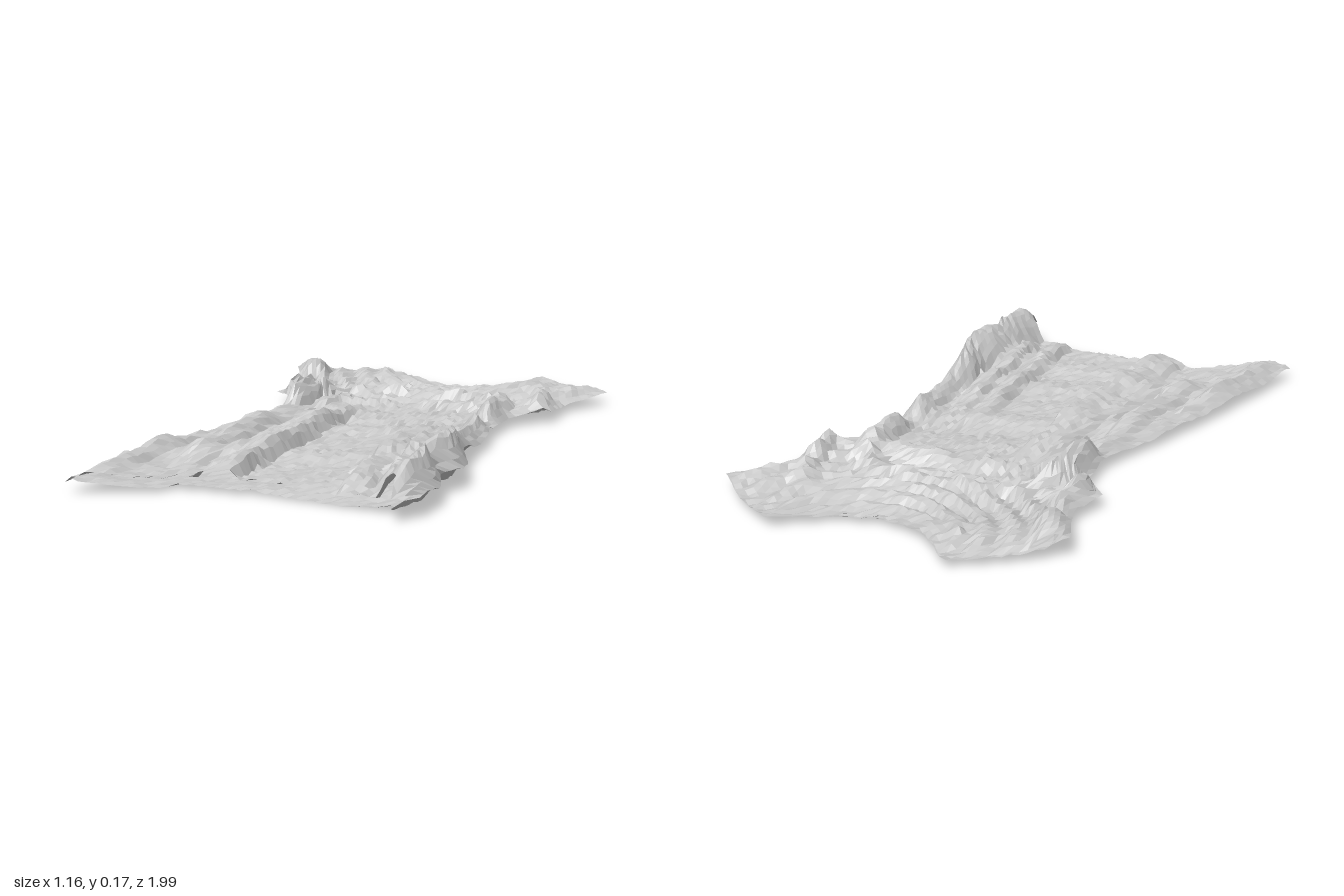
import * as THREE from 'three';

const COLS = 64, ROWS = 62;

// Piecewise-linear lookup through [position, value] pairs
function along(points, p) {
  if (p <= points[0][0]) return points[0][1];
  for (let i = 1; i < points.length; i++) {
    const [a, va] = points[i - 1], [b, vb] = points[i];
    if (p <= b) return va + (vb - va) * (p - a) / (b - a);
  }
  return points[points.length - 1][1];
}

// Side outlines: [z, x]
const RIGHT_SIDE = [[-0.77, -0.58], [-0.6, -0.5], [-0.53, -0.475], [-0.4, -0.505], [-0.3, -0.4],
  [-0.1, -0.38], [0, -0.4], [0.2, -0.45], [0.5, -0.51], [0.8, -0.55], [1, -0.575]];
const LEFT_SIDE = [[-0.78, 0.58], [-0.6, 0.48], [-0.43, 0.48], [-0.3, 0.37], [-0.1, 0.365], [0, 0.39],
  [0.2, 0.4], [0.35, 0.42], [0.45, 0.47], [0.55, 0.485], [0.65, 0.45], [0.75, 0.485], [0.9, 0.475], [0.97, 0.45]];
// Neckline with shoulders, and hem: [s, z] with s from -1 to 1 across the cloth
const NECK = [[-1, -0.77], [-0.78, -0.89], [-0.52, -1], [-0.4, -0.93], [-0.25, -0.86], [-0.1, -0.825], [0, -0.815],
  [0.1, -0.825], [0.25, -0.86], [0.4, -0.93], [0.5, -0.99], [0.78, -0.89], [1, -0.78]];
const HEM = [[-1, 0.99], [-0.75, 0.93], [-0.55, 0.87], [-0.5, 0.825], [0, 0.815], [0.4, 0.84], [0.8, 0.87],
  [0.88, 0.91], [0.94, 0.98], [1, 0.9]];

// Folds: [x0, z0, x1, z1, height, width on -x side, width on +x side]
const FOLDS = [
  [-0.14, -0.28, -0.14, 0.95, 0.06, 0.1, 0.025],
  [-0.22, 0.1, -0.235, 0.65, 0.035, 0.06, 0.02],
  [-0.33, -0.1, -0.34, 0.72, 0.045, 0.05, 0.04],
  [-0.36, 0.36, -0.29, 0.64, 0.035, 0.03, 0.03],
  [-0.46, 0.3, -0.5, 0.95, 0.03, 0.06, 0.04],
  [0.13, -0.05, 0.24, 0.92, 0.04, 0.025, 0.07],
  [0.2, -0.02, 0.34, 0.85, 0.045, 0.025, 0.06],
  [0.33, -0.12, 0.37, 0.3, 0.04, 0.04, 0.05],
  [0.4, 0.12, 0.43, 1.0, 0.11, 0.08, 0.1],
  [-0.31, -0.46, -0.35, -0.12, 0.075, 0.05, 0.035],
  [-0.24, -0.42, -0.27, -0.2, 0.035, 0.03, 0.03],
  [0.29, -0.48, 0.33, -0.14, 0.055, 0.04, 0.05],
  [0.2, -0.55, 0.3, -0.4, 0.035, 0.03, 0.03],
  [-0.46, -0.62, -0.42, -0.3, 0.035, 0.04, 0.03],
  [0.4, -0.6, 0.45, -0.36, 0.035, 0.03, 0.04],
  [-0.6, -0.84, -0.5, -0.62, 0.06, 0.06, 0.1],
  [0.3, -0.78, 0.42, -0.58, 0.025, 0.04, 0.04],
  // crosswise creases at bust and waist
  [-0.3, -0.34, -0.02, -0.33, 0.025, 0.03, 0.05],
  [0.02, -0.33, 0.3, -0.36, 0.025, 0.03, 0.05],
  [0.02, -0.53, 0.3, -0.52, 0.025, 0.03, 0.04],
  [-0.36, -0.5, -0.04, -0.53, 0.02, 0.03, 0.03],
];

function foldHeight(x, z) {
  let sum = 0;
  for (const [x0, z0, x1, z1, h, wa, wb] of FOLDS) {
    const dx = x1 - x0, dz = z1 - z0, len = Math.hypot(dx, dz);
    const t = ((x - x0) * dx + (z - z0) * dz) / (len * len);
    if (t <= 0 || t >= 1) continue;
    const d = ((x - x0) * dz - (z - z0) * dx) / len;
    const side = 1 - Math.abs(d) / (d < 0 ? wa : wb);
    if (side > 0) sum = Math.max(sum, h * Math.sqrt(side) * Math.min(1, 4 * t, 6 * (1 - t)));
  }
  return sum;
}

// Repeatable value in -1..1 for small crumples
function crumple(i, j) {
  const n = Math.sin(i * 127.1 + j * 311.7) * 43758.5453;
  return 2 * (n - Math.floor(n)) - 1;
}

function backHeight(x, z, s, i, j) {
  const lift = Math.max(0, Math.abs(s) - 0.65) / 0.35;
  const shoulder = Math.max(0, -0.7 - z) * 0.07;
  return 0.013 + 0.026 * lift + shoulder + 0.006 * Math.sin(z * 19 + x * 7) + 0.004 * crumple(i, j + 90);
}

function frontHeight(x, z, s, i, j) {
  const back = backHeight(x, z, s, i, j);
  // curved drape lines hang below the neckline, gentler ripples follow in the skirt
  const radius = Math.hypot(x, (z + 0.92) * 1.1);
  const drape = z < -0.4 ? 0.009 * Math.sin(radius * 75) : 0.004 * Math.sin(z * 32 + x * 9);
  const shoulderSeam = Math.min(1, (z - along(NECK, s)) / 0.12);
  const gap = 0.008 + (0.022 + drape) * shoulderSeam;
  const closing = Math.min(1, (1 - Math.abs(s)) / 0.1);
  return back + gap * closing + foldHeight(x, z) * (0.4 + 0.6 * closing) + 0.004 * crumple(i, j) * closing;
}

// One layer of cloth between the outlines
function clothLayer(name, heightAt, facesUp, material) {
  const positions = [], index = [];
  for (let j = 0; j <= ROWS; j++) {
    for (let i = 0; i <= COLS; i++) {
      const s = 2 * i / COLS - 1;
      const z0 = along(NECK, s), z1 = along(HEM, s);
      const z = z0 + (z1 - z0) * j / ROWS;
      const a = along(RIGHT_SIDE, z), b = along(LEFT_SIDE, z);
      const x = a + (b - a) * i / COLS;
      positions.push(x, Math.max(0, heightAt(x, z, s, i, j)), z);
    }
  }
  for (let j = 0; j < ROWS; j++) {
    for (let i = 0; i < COLS; i++) {
      const a = j * (COLS + 1) + i, b = a + 1, c = a + COLS + 1, d = c + 1;
      if (facesUp) index.push(a, c, b, b, c, d);
      else index.push(a, b, c, b, d, c);
    }
  }
  const geometry = new THREE.BufferGeometry();
  geometry.setAttribute('position', new THREE.Float32BufferAttribute(positions, 3));
  geometry.setIndex(index);
  geometry.computeVertexNormals();
  const mesh = new THREE.Mesh(geometry, material);
  mesh.name = name;
  return mesh;
}

export function createModel() {
  const group = new THREE.Group();
  group.name = 'foldedDress';
  const cloth = new THREE.MeshStandardMaterial({ color: 0xcccccc, flatShading: true, side: THREE.DoubleSide });

  // The front lies on top; its side edges meet the raised edges of the back
  group.add(clothLayer('dressFront', frontHeight, true, cloth));
  group.add(clothLayer('dressBack', (x, z, s, i, j) => {
    const edge = Math.max(0, (Math.abs(s) - 0.92) / 0.08);
    const back = backHeight(x, z, s, i, j);
    return back + (frontHeight(x, z, s, i, j) - back) * edge;
  }, false, cloth));
  return group;
}
